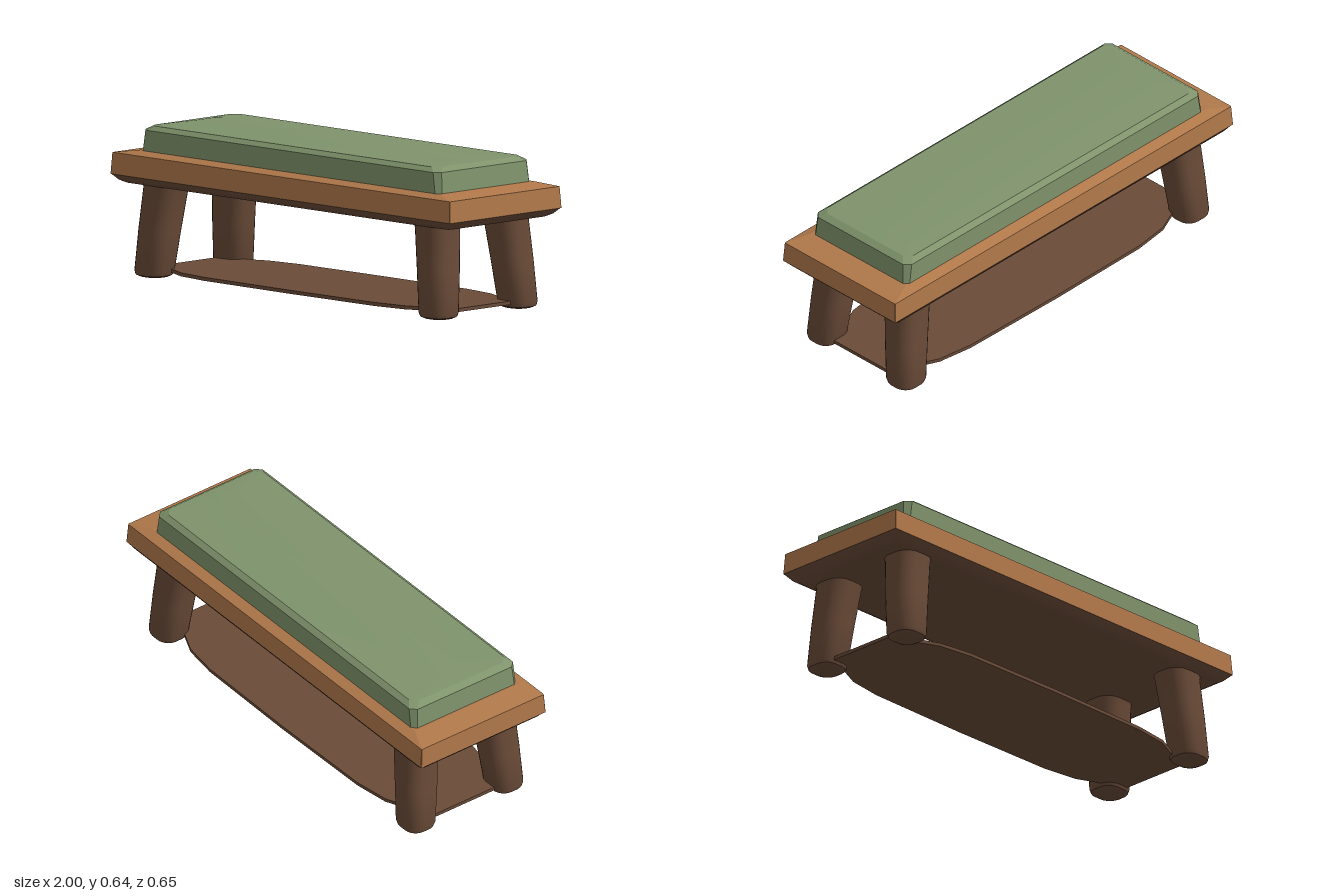
import * as THREE from 'three';
import { toCreasedNormals } from 'three/addons/utils/BufferGeometryUtils.js';

const wood = new THREE.MeshStandardMaterial({ color: 0xb0784a });
const darkWood = new THREE.MeshStandardMaterial({ color: 0x6a4b38 });
const fabric = new THREE.MeshStandardMaterial({ color: 0x7f936c });

// Rounded rectangle ring, counter-clockwise seen from above
function ring(y, hx, hz, r = 0.002, seg = 1, cx = 0, cz = 0) {
  const pts = [];
  for (let q = 0; q < 4; q++) {
    const sx = q === 0 || q === 3 ? 1 : -1;
    const sz = q < 2 ? -1 : 1;
    for (let i = 0; i <= seg; i++) {
      const a = (q + i / seg) * Math.PI / 2;
      pts.push([cx + sx * (hx - r) + r * Math.cos(a), y, cz + sz * (hz - r) - r * Math.sin(a)]);
    }
  }
  return pts;
}

// Skin rings from bottom to top and close both ends
function loft(rings, crease = 0.5) {
  const n = rings[0].length, pos = rings.flat(2), index = [];
  for (let k = 0; k < rings.length - 1; k++) {
    for (let i = 0; i < n; i++) {
      const a = k * n + i, b = k * n + (i + 1) % n;
      index.push(a, b, b + n, a, b + n, a + n);
    }
  }
  [rings[0], rings[rings.length - 1]].forEach((r, end) => {
    const c = pos.length / 3, base = end ? (rings.length - 1) * n : 0;
    for (let k = 0; k < 3; k++) pos.push(r.reduce((s, p) => s + p[k], 0) / n);
    for (let i = 0; i < n; i++) {
      const a = base + i, b = base + (i + 1) % n;
      index.push(c, end ? a : b, end ? b : a);
    }
  });
  const g = new THREE.BufferGeometry();
  g.setAttribute('position', new THREE.Float32BufferAttribute(pos, 3));
  g.setIndex(index);
  return toCreasedNormals(g, crease);
}

function part(name, geometry, material) {
  const m = new THREE.Mesh(geometry, material);
  m.name = name;
  return m;
}

export function createModel() {
  const group = new THREE.Group();
  group.name = 'bench';

  // Seat slab with a gently sloped top border
  group.add(part('seatFrame', loft([
    ring(0.42, 1.0, 0.324), ring(0.51, 0.995, 0.318), ring(0.525, 0.89, 0.272),
  ], 0.05), wood));

  // Dark bevelled underside
  group.add(part('seatUnderside', loft([
    ring(0.385, 0.955, 0.285, 0.02, 3), ring(0.397, 0.978, 0.308, 0.02, 3), ring(0.42, 0.999, 0.323, 0.008, 3),
  ], 0.6), darkWood));

  // Cushion with bevelled edges and a low crown
  group.add(part('cushion', loft([
    ring(0.515, 0.882, 0.272, 0.02), ring(0.612, 0.872, 0.27, 0.025),
    ring(0.63, 0.845, 0.247, 0.03), ring(0.638, 0.78, 0.08, 0.03),
  ], 0.25), fabric));

  // Four splayed, tapered legs with rounded feet
  const profile = [
    // y, half width, half depth, centre x, centre z
    [0, 0.055, 0.05, 0.838, 0.229],
    [0.008, 0.072, 0.068, 0.838, 0.229],
    [0.025, 0.078, 0.074, 0.837, 0.228],
    [0.2, 0.083, 0.08, 0.82, 0.213],
    [0.37, 0.088, 0.083, 0.8, 0.198],
    [0.4, 0.093, 0.086, 0.797, 0.196],
  ];
  for (const [sx, sz, name] of [[1, 1, 'frontLeftLeg'], [-1, 1, 'frontRightLeg'],
    [1, -1, 'backLeftLeg'], [-1, -1, 'backRightLeg']]) {
    const rings = profile.map(([y, hx, hz, x, z]) => ring(y, hx, hz, Math.min(hx, hz) * 0.8, 6, sx * x, sz * z));
    group.add(part(name, loft(rings, 0.7), darkWood));
  }

  // Thin low shelf, narrow at the legs and bulging along the middle
  const half = [[0.87, 0.17], [0.76, 0.205], [0.66, 0.25], [0.5, 0.272], [0, 0.278]];
  const side = [...half, ...half.slice(0, -1).reverse().map(([x, z]) => [-x, z])];
  const outline = [...side, ...side.map(([x, z]) => [-x, -z])];
  const shelf = new THREE.ExtrudeGeometry(
    new THREE.Shape(outline.map(([x, z]) => new THREE.Vector2(x, z))),
    { depth: 0.015, bevelEnabled: false });
  shelf.rotateX(Math.PI / 2).translate(0, 0.035, 0);
  group.add(part('lowerShelf', shelf, darkWood));

  return group;
}
